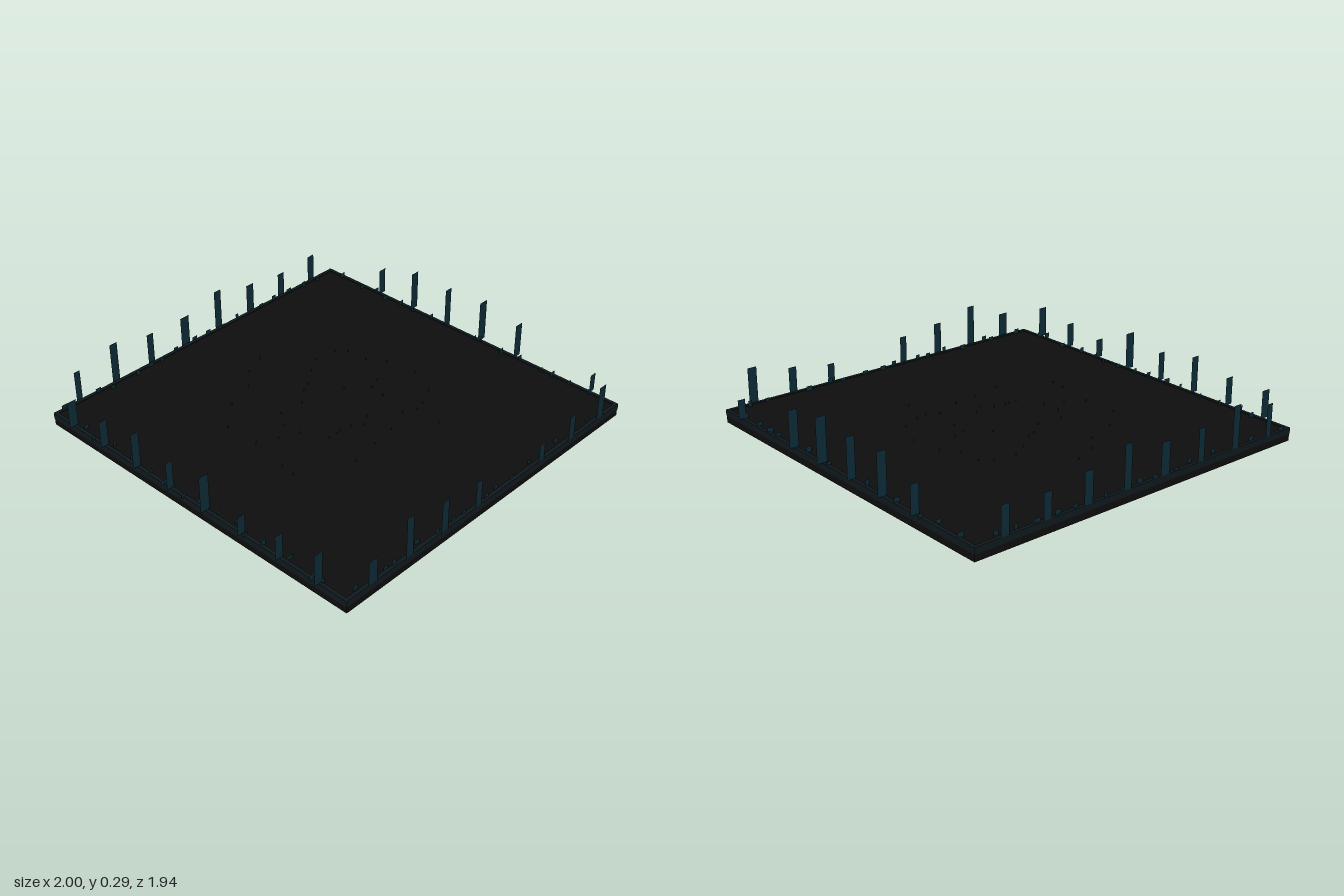
import * as THREE from 'three';

const HALF = 0.972;   // half size of the platform
const TOP = 0.067;    // top of the raised rim
const FLOOR = 0.062;  // top of the floor inside the rim

const paint = (color, extra = {}) => new THREE.MeshStandardMaterial({ color, ...extra });

// small repeatable number generator
function seeded(seed) {
  return () => (seed = (seed * 16807) % 2147483647) / 2147483647;
}

export function createModel() {
  const model = new THREE.Group();
  const slabMat = paint(0x0d0d0d);
  const rimMat = paint(0x10191d);
  const panelMat = paint(0x0c2a36, { side: THREE.DoubleSide });
  const rand = seeded(4711);

  function add(parent, name, geometry, material, x, y, z) {
    const mesh = new THREE.Mesh(geometry, material);
    mesh.name = name;
    mesh.position.set(x, y, z);
    parent.add(mesh);
  }
  function group(name) {
    const g = new THREE.Group();
    g.name = name;
    model.add(g);
    return g;
  }
  // upright flat panel facing front and back, standing at height y
  function panel(parent, name, x, y, z, w, h) {
    add(parent, name, new THREE.PlaneGeometry(w, h), panelMat, x, y + h / 2, z);
  }

  // platform
  add(model, 'platformSlab', new THREE.BoxGeometry(2 * HALF - 0.004, FLOOR, 2 * HALF - 0.004),
    slabMat, 0, FLOOR / 2, 0);

  // raised rim on all four edges
  const rim = group('rim');
  const rimW = 0.018, rimH = 0.032;
  for (const s of [-1, 1]) {
    const c = s * (HALF - rimW / 2), y = TOP - rimH / 2;
    add(rim, 'rimBar', new THREE.BoxGeometry(2 * HALF, rimH, rimW), rimMat, 0, y, c);
    add(rim, 'rimBar', new THREE.BoxGeometry(rimW, rimH, 2 * (HALF - rimW)), rimMat, c, y, 0);
  }

  // tall panels: [height, width] at eight stations per edge, from -0.812 to 0.812; 0 leaves a gap
  const edges = {
    front: [[0.125, 0.055], [0.215, 0.045], [0.165, 0.045], [0.14, 0.04], [0, 0], [0.095, 0.04], [0.13, 0.045], [0.183, 0.05]],
    back: [[0.163, 0.035], [0.215, 0.045], [0.165, 0.04], [0.163, 0.055], [0.218, 0.045], [0.158, 0.05], [0.13, 0.045], [0.145, 0.045]],
    right: [[0.145, 0.05], [0.145, 0.045], [0.19, 0.045], [0.15, 0.04], [0.195, 0.055], [0.1, 0.045], [0.13, 0.045], [0.165, 0.05]],
    left: [[0, 0], [0.145, 0.045], [0.215, 0.05], [0.208, 0.045], [0.228, 0.055], [0.19, 0.05], [0, 0], [0.1, 0.04]],
  };
  const place = {
    front: (t) => [t, HALF],
    back: (t) => [t, -HALF],
    right: (t) => [-HALF, t],
    left: (t) => [HALF, t],
  };
  const tall = group('edgePanels');
  for (const side in edges) {
    edges[side].forEach(([h, w], i) => {
      if (!h) return;
      const [x, z] = place[side](-0.812 + i * 0.232);
      panel(tall, side + 'Panel', x, TOP, z, w, h);
    });
  }

  // low chips scattered along the rim
  const chips = group('rimChips');
  for (const side in place) {
    for (let i = 0; i < 16; i++) {
      const [x, z] = place[side](-0.92 + 0.115 * (i + 0.8 * rand()));
      const inset = 1 - 0.04 * rand();
      panel(chips, 'chip', x * inset, FLOOR, z * inset, 0.016 + 0.02 * rand(), 0.018 + 0.014 * rand());
    }
  }

  // tiny specks spread over the middle of the floor
  const specks = group('floorSpecks');
  for (let i = 0; i < 40; i++) {
    const a = i * 2.4, r = 0.15 + 0.45 * rand();
    panel(specks, 'speck', r * Math.cos(a), FLOOR, r * Math.sin(a), 0.008, 0.012);
  }
  return model;
}
